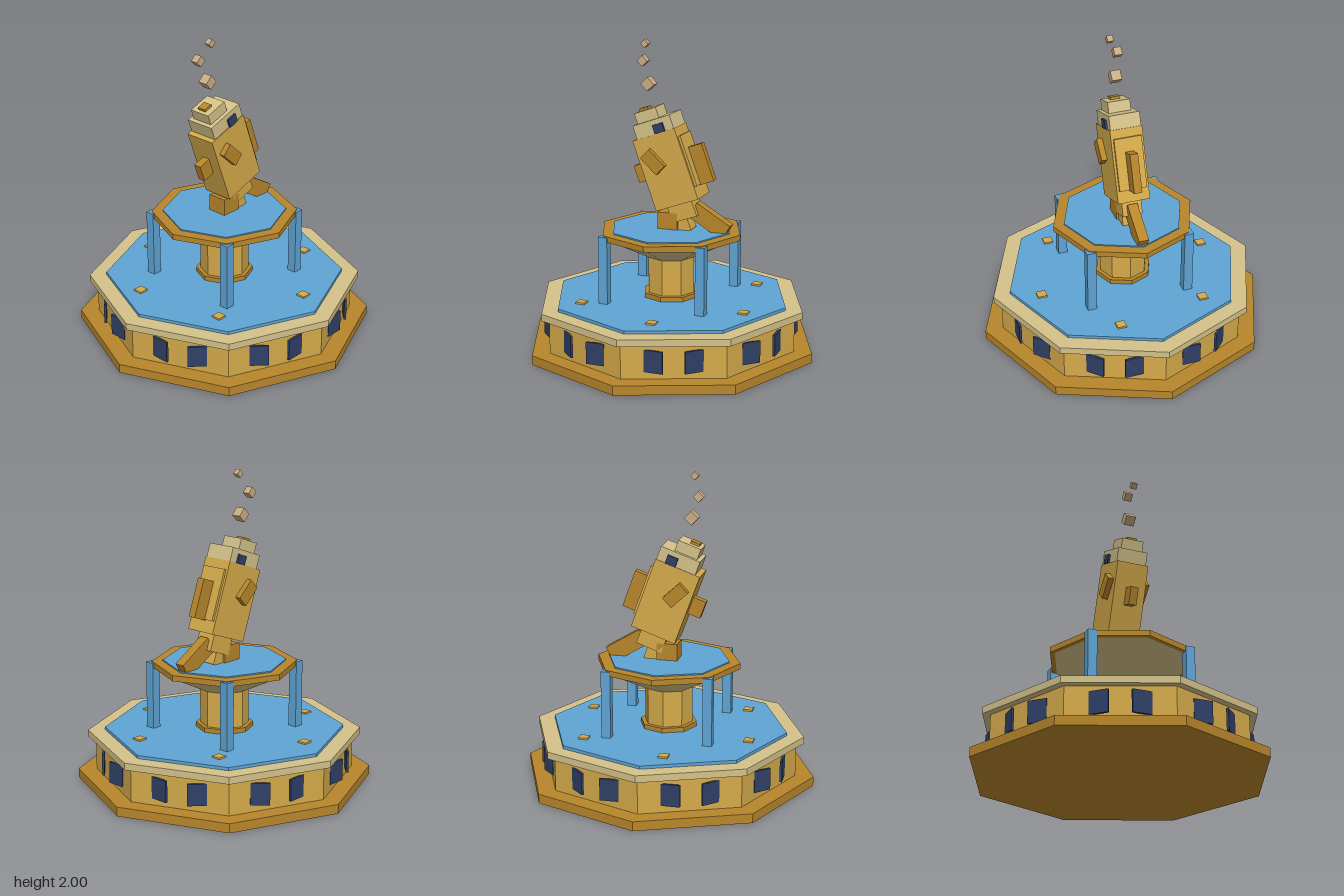
import * as THREE from 'three';

const paint = (name, color) => {
  const m = new THREE.MeshStandardMaterial({ color });
  m.name = name;
  return m;
};

export function createModel() {
  const gold = paint('gold', 0xd4aa4a);
  const bronze = paint('bronze', 0xb8862b);
  const cream = paint('cream', 0xd4c28a);
  const water = paint('water', 0x5fa4d4);
  const navy = paint('navy', 0x2f3f66);
  const mist = paint('mist', 0xcbad86);

  const model = new THREE.Group();
  model.name = 'fountain';

  // Flat-sided octagonal tier with corners on the x and z axes
  const tier = (name, mat, rTop, rBottom, y0, y1) => {
    const geo = new THREE.CylinderGeometry(rTop, rBottom, y1 - y0, 8).toNonIndexed();
    geo.computeVertexNormals();
    const mesh = new THREE.Mesh(geo, mat);
    mesh.name = name;
    mesh.position.y = (y0 + y1) / 2;
    model.add(mesh);
  };
  const box = (parent, name, mat, size, pos, rotZ = 0, rotY = 0) => {
    const mesh = new THREE.Mesh(new THREE.BoxGeometry(...size), mat);
    mesh.name = name;
    mesh.position.set(...pos);
    mesh.rotation.set(0, rotY, rotZ);
    parent.add(mesh);
    return mesh;
  };

  // Lower basin
  tier('baseStep', bronze, 0.953, 0.953, 0, 0.06);
  tier('basinWall', gold, 0.835, 0.835, 0.06, 0.28);
  tier('basinRim', cream, 0.885, 0.885, 0.28, 0.325);
  tier('basinWater', water, 0.775, 0.775, 0.325, 0.345);

  // Pairs of tiles either side of each corner
  for (let i = 0; i < 8; i++) {
    const a = (i * Math.PI) / 4;
    for (const t of [-0.19, 0.19]) {
      const r = 0.777;
      box(model, 'wallTile', navy, [0.12, 0.14, 0.015],
        [r * Math.sin(a) + t * Math.cos(a), 0.175, r * Math.cos(a) - t * Math.sin(a)], 0, a);
    }
  }

  // Coins lying in the water
  for (let i = 0; i < 6; i++) {
    const a = ((20 + i * 60) * Math.PI) / 180;
    box(model, 'coin', gold, [0.06, 0.02, 0.06], [0.6 * Math.cos(a), 0.346, 0.6 * Math.sin(a)]);
  }

  // Pedestal and upper bowl
  tier('columnFoot', bronze, 0.185, 0.185, 0.345, 0.375);
  tier('column', gold, 0.157, 0.157, 0.375, 0.61);
  tier('bowl', cream, 0.44, 0.157, 0.61, 0.752);
  tier('bowlRim', bronze, 0.468, 0.468, 0.75, 0.787);
  tier('bowlWater', water, 0.397, 0.397, 0.787, 0.795);

  // Falling water streams
  for (const x of [-0.325, 0.325])
    for (const z of [-0.325, 0.325])
      box(model, 'waterStream', water, [0.06, 0.437, 0.06], [x, 0.5635, z]);

  // Statue support and tail fluke
  box(model, 'statueFoot', bronze, [0.135, 0.11, 0.13], [-0.002, 0.848, 0]);
  box(model, 'tailFluke', bronze, [0.26, 0.11, 0.066], [0.27, 0.864, 0], -0.54);

  // Leaping fish, tilted toward its right
  const fish = new THREE.Group();
  fish.name = 'fish';
  fish.position.set(0, 1.19, 0);
  fish.rotation.z = THREE.MathUtils.degToRad(20);
  model.add(fish);
  box(fish, 'body', gold, [0.3, 0.47, 0.21], [0, 0, 0]);
  box(fish, 'backPlate', gold, [0.02, 0.333, 0.18], [0.156, 0.012, 0]);
  box(fish, 'dorsalFin', bronze, [0.1, 0.25, 0.052], [0.208, -0.035, 0]);
  box(fish, 'bellyFin', bronze, [0.09, 0.115, 0.052], [-0.19, 0.018, 0]);
  box(fish, 'head', cream, [0.263, 0.09, 0.2], [0.014, 0.28, 0]);
  box(fish, 'snout', cream, [0.153, 0.07, 0.146], [-0.016, 0.36, 0]);
  box(fish, 'mouth', bronze, [0.06, 0.016, 0.06], [-0.04, 0.403, 0]);
  box(fish, 'tailBase', gold, [0.174, 0.106, 0.13], [0, -0.288, 0]);
  box(fish, 'tailStem', gold, [0.1, 0.08, 0.1], [-0.038, -0.378, 0]);
  for (const s of [-1, 1]) {
    box(fish, 'eye', navy, [0.07, 0.058, 0.02], [0.051, 0.264, s * 0.104]);
    box(model, 'sideFin', bronze, [0.146, 0.084, 0.04], [-0.072, 1.242, s * 0.122], -0.75);
  }

  // Rising spray drops: size, x, y, z
  for (const [s, x, y, z] of [
    [0.064, -0.15, 1.715, 0], [0.05, -0.2, 1.855, -0.03], [0.038, -0.16, 1.973, 0.031],
  ]) box(model, 'sprayDrop', mist, [s, s, s], [x, y, z], 0.75);

  return model;
}
